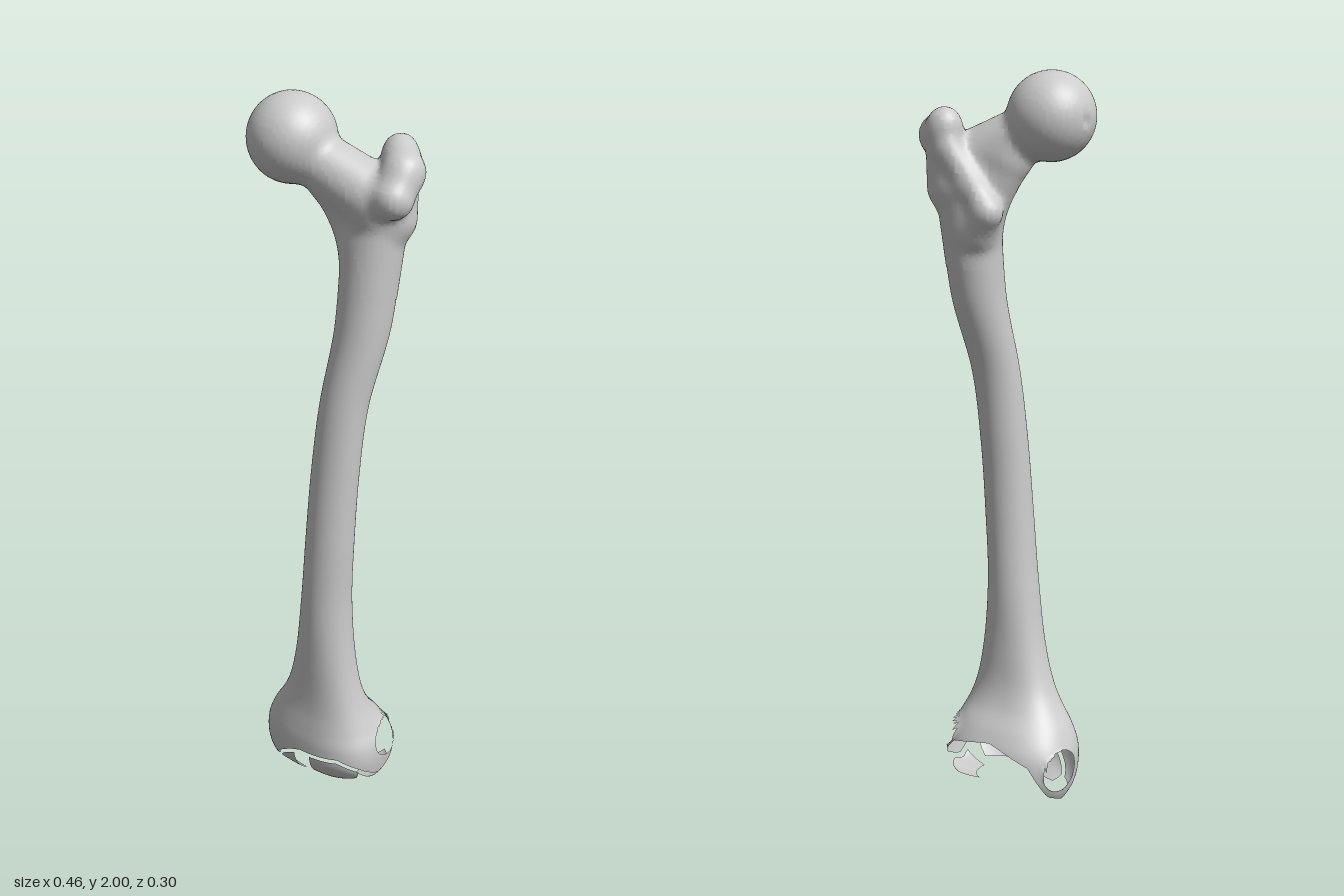
import * as THREE from 'three';
import { mergeVertices } from 'three/addons/utils/BufferGeometryUtils.js';

const material = new THREE.MeshStandardMaterial({ color: 0xcccccc, side: THREE.DoubleSide });
const { lerp, clamp, degToRad } = THREE.MathUtils;

// Cross-sections of shaft and lower end: y, then x min, x max, z back, z front, squareness
const SECTIONS = [
  [0.0, -0.185, 0.115, -0.07, 0.08, 2.4],
  [0.03, -0.2, 0.15, -0.105, 0.118, 2.5],
  [0.08, -0.21, 0.166, -0.13, 0.14, 2.6],
  [0.15, -0.207, 0.166, -0.127, 0.143, 2.6],
  [0.2, -0.185, 0.145, -0.1, 0.137, 2.5],
  [0.25, -0.15, 0.125, -0.06, 0.13, 2.4],
  [0.3, -0.122, 0.111, -0.037, 0.127, 2.3],
  [0.4, -0.09, 0.095, -0.02, 0.127, 2.2],
  [0.6, -0.06, 0.084, -0.01, 0.13, 2],
  [0.8, -0.042, 0.093, -0.005, 0.127, 2],
  [1.0, -0.03, 0.103, -0.01, 0.115, 2],
  [1.2, -0.016, 0.117, -0.03, 0.095, 2],
  [1.4, 0.0, 0.146, -0.085, 0.06, 2],
  [1.5, 0.002, 0.154, -0.103, 0.049, 2],
];
const sectionAt = new THREE.CubicInterpolant(
  SECTIONS.map((s) => s[0]), SECTIONS.flatMap((s) => s.slice(1)), 5);

// Height of the broken lower rim by angle (0 = +x, 90 = front)
const RIM = [[0, 0.05], [30, 0.1], [55, 0.13], [90, 0.12], [108, 0.08], [130, 0.02], [180, 0.0],
  [212, 0.03], [235, 0.13], [270, 0.175], [305, 0.15], [330, 0.09], [360, 0.05]];
const rimAt = new THREE.LinearInterpolant(RIM.map((r) => r[0]), RIM.map((r) => r[1]), 1);

// Oval openings in the two side walls
const HOLES = [
  { side: 1, y: 0.15, z: -0.04, ry: 0.05, rz: 0.064 },
  { side: -1, y: 0.105, z: -0.03, ry: 0.06, rz: 0.06 },
];

// Point on the bone wall at an angle and height
function wallPoint(deg, y, scale = 1) {
  const [x0, x1, z0, z1, n] = sectionAt.evaluate(y);
  const c = Math.cos(degToRad(deg)), s = Math.sin(degToRad(deg));
  const pw = (v) => Math.sign(v) * Math.abs(v) ** (2 / n) * scale;
  return [(x0 + x1) / 2 + (x1 - x0) / 2 * pw(c), y, (z0 + z1) / 2 + (z1 - z0) / 2 * pw(s)];
}

// Surface from a grid of points; faces whose corners are all cut away are dropped
function gridGeometry(nu, nv, pointAt) {
  const pos = [], cut = [], index = [];
  for (let j = 0; j <= nv; j++) for (let i = 0; i <= nu; i++) {
    const p = pointAt(i / nu, j / nv);
    pos.push(p[0], p[1], p[2]);
    cut.push(!!p.cut);
  }
  for (let j = 0; j < nv; j++) for (let i = 0; i < nu; i++) {
    const a = j * (nu + 1) + i, b = a + 1, c = a + nu + 1, d = c + 1;
    if (cut[a] && cut[b] && cut[c] && cut[d]) continue;
    index.push(a, c, b, b, c, d);
  }
  return finish(pos, index);
}

function finish(pos, index) {
  let geo = new THREE.BufferGeometry();
  geo.setAttribute('position', new THREE.Float32BufferAttribute(pos, 3));
  geo.setIndex(index);
  geo = mergeVertices(geo, 1e-5);
  geo.computeVertexNormals();
  return geo;
}

// Shaft flaring into the open lower end
function shaftGeometry() {
  return gridGeometry(72, 110, (u, v) => {
    const deg = u * 360;
    const p = wallPoint(deg, lerp(rimAt.evaluate(deg)[0], 1.5, v ** 1.8));
    for (const h of HOLES) {
      const dy = p[1] - h.y, dz = p[2] - h.z, e = Math.hypot(dy / h.ry, dz / h.rz);
      if (p[0] * h.side > 0.05 && e < 1) {
        // slide points inside the opening out to its edge
        p[1] = h.y + dy / Math.max(e, 1e-3);
        p[2] = h.z + dz / Math.max(e, 1e-3);
        p.cut = true;
      }
    }
    return p;
  });
}

// Loose curved plate of joint surface below the rim
function plateGeometry(deg0, deg1, low, high, curl) {
  return gridGeometry(14, 8, (u, v) => {
    const deg = lerp(deg0, deg1, u);
    const top = Math.max(low + 0.012, Math.min(high, rimAt.evaluate((deg + 360) % 360)[0] - 0.014));
    return wallPoint(deg, lerp(low, top, v), 0.98 - curl * (1 - v) ** 2);
  });
}

// Upper end: rounded limbs, each [start, radius, end, radius, blend]
const LIMBS = [
  [[0.075, 1.4, -0.015], 0.073, [0.085, 1.7, -0.05], 0.083, 0.01],      // top of shaft
  [[-0.09, 1.86, 0.03], 0.07, [0.09, 1.76, -0.025], 0.082, 0.03],       // neck
  [[-0.02, 1.76, -0.015], 0.05, [0.06, 1.6, -0.045], 0.052, 0.04],      // inner buttress
  [[0.12, 1.866, -0.1], 0.042, [0.168, 1.83, -0.05], 0.05, 0.015],      // greater trochanter crest
  [[0.168, 1.83, -0.05], 0.05, [0.172, 1.775, -0.005], 0.053, 0.025],   // greater trochanter front
  [[0.125, 1.83, -0.095], 0.048, [0.13, 1.7, -0.07], 0.055, 0.03],      // greater trochanter back
  [[0.0, 1.645, -0.09], 0.042, [0.04, 1.59, -0.075], 0.045, 0.025],     // lesser trochanter
  [[0.0, 1.65, -0.09], 0.03, [0.1, 1.8, -0.11], 0.034, 0.025],          // ridge between trochanters
  [[-0.118, 1.885, 0.035], 0.1155, [-0.118, 1.885, 0.035], 0.1155, 0.018], // head
].map(([a, ra, b, rb, k]) => ({ a: new THREE.Vector3(...a), ab: new THREE.Vector3(...b).sub(new THREE.Vector3(...a)), ra, rb, k }));
const PIT = new THREE.Vector3(-0.262, 1.875, 0.015);

const tmp = new THREE.Vector3();
function distance(p) {
  let d = 1;
  for (const { a, ab, ra, rb, k } of LIMBS) {
    tmp.subVectors(p, a);
    const t = clamp(tmp.dot(ab) / (ab.lengthSq() || 1), 0, 1);
    const e = tmp.addScaledVector(ab, -t).length() - lerp(ra, rb, t);
    const h = Math.max(k - Math.abs(d - e), 0) / k;
    d = Math.min(d, e) - h * h * k / 4;
  }
  return Math.max(d, 0.036 - p.distanceTo(PIT)); // small pit in the head
}

// Mesh the blended limbs: one vertex per crossed cell, one quad per crossed edge
function upperEndGeometry() {
  const step = 0.011, origin = new THREE.Vector3(-0.26, 1.487, -0.18), n = [47, 49, 33];
  const stride = [1, n[0], n[0] * n[1]];
  const at = (i, j, k) => new THREE.Vector3(i, j, k).multiplyScalar(step).add(origin);
  const field = [], pos = [], index = [], cells = new Map();
  for (let k = 0; k < n[2]; k++) for (let j = 0; j < n[1]; j++) for (let i = 0; i < n[0]; i++)
    field.push(distance(at(i, j, k)));

  const vertex = (id) => {
    if (!cells.has(id)) {
      const p = at(id % n[0] + 0.5, Math.floor(id / n[0]) % n[1] + 0.5, Math.floor(id / stride[2]) + 0.5);
      for (let it = 0; it < 4; it++) {
        const d = distance(p), g = new THREE.Vector3();
        for (const ax of ['x', 'y', 'z']) {
          const q = p.clone();
          q[ax] += 1e-4;
          g[ax] = (distance(q) - d) / 1e-4;
        }
        p.addScaledVector(g, -clamp(d, -step, step) / Math.max(g.lengthSq(), 0.3));
      }
      cells.set(id, pos.length / 3);
      pos.push(p.x, p.y, p.z);
    }
    return cells.get(id);
  };

  for (let k = 1; k < n[2] - 1; k++) for (let j = 1; j < n[1] - 1; j++) for (let i = 1; i < n[0] - 1; i++) {
    const id = i + j * stride[1] + k * stride[2];
    for (let ax = 0; ax < 3; ax++) {
      const inside = field[id] < 0;
      if (inside === field[id + stride[ax]] < 0) continue;
      const b = stride[(ax + 1) % 3], c = stride[(ax + 2) % 3];
      const q = [id, id - b, id - b - c, id - c].map(vertex);
      if (!inside) q.reverse();
      index.push(q[0], q[1], q[2], q[0], q[2], q[3]);
    }
  }
  return finish(pos, index);
}

export function createModel() {
  const model = new THREE.Group();
  model.name = 'thighBone';
  const add = (name, geometry) => {
    const mesh = new THREE.Mesh(geometry, material);
    mesh.name = name;
    model.add(mesh);
  };
  add('shaftAndLowerEnd', shaftGeometry());
  add('headNeckAndTrochanters', upperEndGeometry());
  add('rightFrontPlate', plateGeometry(94, 124, 0.008, 0.12, 0.12));
  add('leftFrontPlate', plateGeometry(28, 84, 0.03, 0.118, 0.15));
  add('leftLowerPlate', plateGeometry(-50, 10, 0.022, 0.05, 0.3));
  return model;
}
